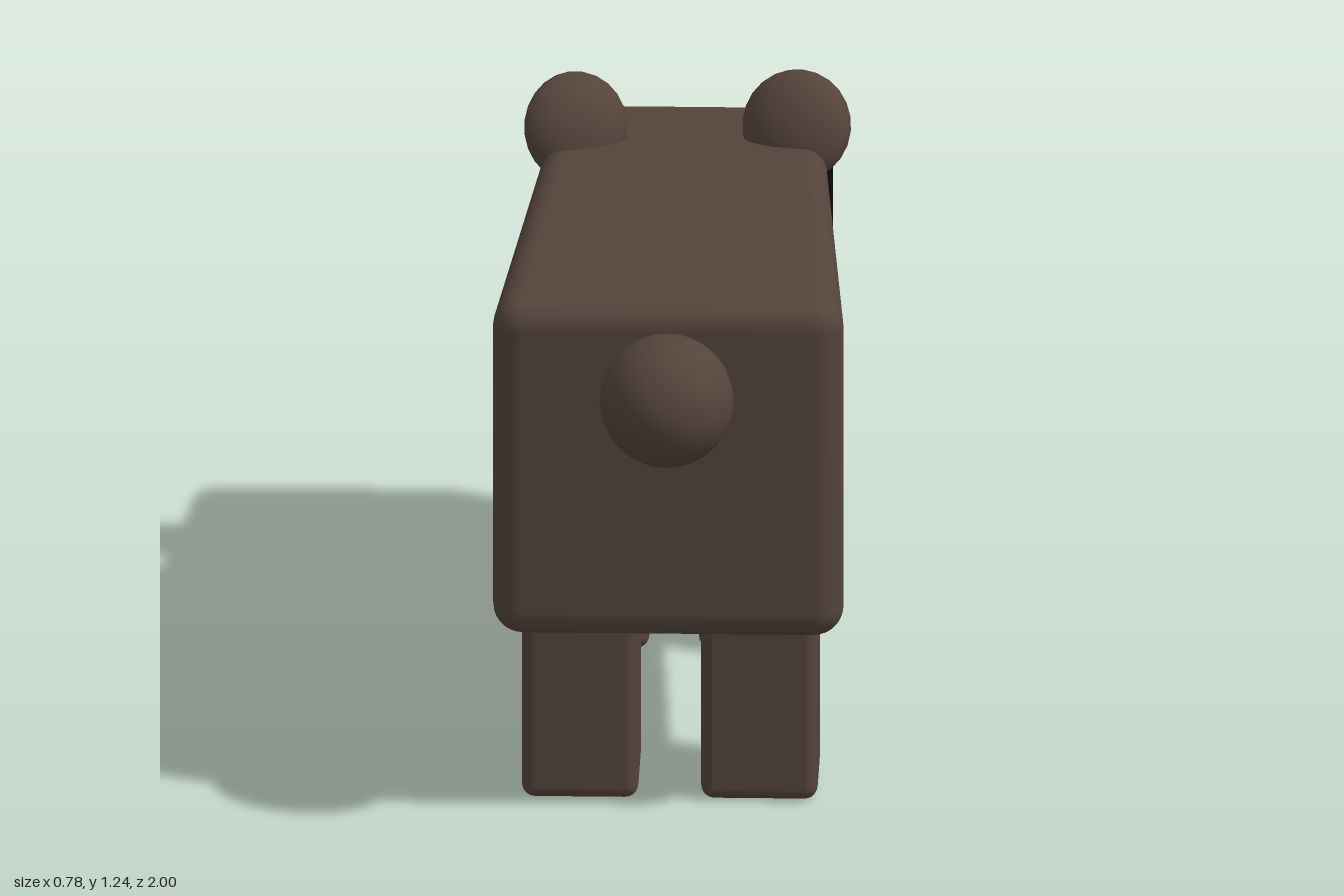
import * as THREE from 'three';
import { RoundedBoxGeometry } from 'three/addons/geometries/RoundedBoxGeometry.js';
import { mergeVertices } from 'three/addons/utils/BufferGeometryUtils.js';

const paint = (color) => new THREE.MeshStandardMaterial({ color });
const fur = paint(0x54443b);
const black = paint(0x0c0c0c);
const pink = paint(0xb84a44);

export function createModel() {
  const group = new THREE.Group();

  function add(name, geometry, material, x = 0, y = 0, z = 0, parent = group) {
    const mesh = new THREE.Mesh(geometry, material);
    mesh.name = name;
    mesh.position.set(x, y, z);
    parent.add(mesh);
    return mesh;
  }

  // Body: a rounded block that narrows and drops towards the head
  const length = 1.76, bottom = 0.44, tailZ = 0.775;
  let body = new RoundedBoxGeometry(0.79, 0.81, length, 4, 0.07);
  body.deleteAttribute('normal');
  body.deleteAttribute('uv');
  body = mergeVertices(body, 1e-4);
  const p = body.attributes.position;
  for (let i = 0; i < p.count; i++) {
    const t = 0.5 - p.getZ(i) / length; // 0 at the tail, 1 at the head
    const h = p.getY(i) / 0.81 + 0.5;
    p.setXYZ(
      i,
      p.getX(i) * (1 - 0.25 * t),
      bottom + h * (0.81 - 0.2 * t),
      tailZ - length * t + 0.012 * t * (1 - h)
    );
  }
  body.computeVertexNormals();
  add('body', body, fur);

  // Ball tail
  add('tail', new THREE.SphereGeometry(0.15, 20, 14), fur, 0, 1.05, 0.85);

  // Legs: [name, x, z, width, depth]
  const legs = [
    ['hindLegLeft', 0.2, 0.4925, 0.26, 0.255],
    ['hindLegRight', -0.2, 0.4925, 0.26, 0.255],
    ['foreLegLeft', 0.155, -0.4025, 0.23, 0.225],
    ['foreLegRight', -0.185, -0.4025, 0.23, 0.225],
  ];
  for (const [name, x, z, w, d] of legs) {
    add(name, new RoundedBoxGeometry(w, 0.5, d, 3, 0.03), fur, x, 0.25, z);
  }

  // Ears: hollow cups with a thick lip and a pink lining
  const cup = [];
  for (let i = 0; i <= 10; i++) {
    const a = (i / 10) * Math.PI / 2;
    cup.push(new THREE.Vector2(0.125 * Math.sin(a), -0.075 * Math.cos(a)));
  }
  cup.push(new THREE.Vector2(0.118, 0.006), new THREE.Vector2(0.1, -0.005), new THREE.Vector2(0.08, -0.025));
  const lining = [];
  for (let i = 0; i <= 6; i++) {
    const r = 0.08 * i / 6;
    lining.push(new THREE.Vector2(r, -0.05 + 0.025 * (r / 0.08) ** 2));
  }
  const up = new THREE.Vector3(0, 1, 0);
  for (const [side, x, z, nx] of [['Left', 0.25, -0.66, 0.24], ['Right', -0.245, -0.635, -0.48]]) {
    const ear = new THREE.Group();
    ear.name = 'ear' + side;
    ear.position.set(x, 1.12, z);
    ear.quaternion.setFromUnitVectors(up, new THREE.Vector3(nx, -0.35, -0.9).normalize());
    group.add(ear);
    const outer = add('earCup' + side, new THREE.LatheGeometry(cup, 24), fur.clone(), 0, 0, 0, ear);
    const inner = add('earLining' + side, new THREE.LatheGeometry(lining, 24), pink.clone(), 0, 0, 0, ear);
    outer.material.side = inner.material.side = THREE.DoubleSide;
  }

  // Eyes: upright slabs set into the sides of the head
  for (const s of [1, -1]) {
    add(s > 0 ? 'eyeLeft' : 'eyeRight', new RoundedBoxGeometry(0.06, 0.175, 0.065, 2, 0.006), black, s * 0.295, 0.893, -0.8175);
  }

  // Mouth: flat on top, tapering below
  const mouth = new THREE.Shape();
  mouth.moveTo(-0.065, 0.865);
  for (const [x, y] of [[-0.065, 0.835], [-0.035, 0.8], [0, 0.79], [0.035, 0.8], [0.065, 0.835], [0.065, 0.865]]) {
    mouth.lineTo(x, y);
  }
  add('mouth', new THREE.ExtrudeGeometry(mouth, { depth: 0.04, bevelEnabled: false }), black, 0, 0, -1);

  return group;
}
